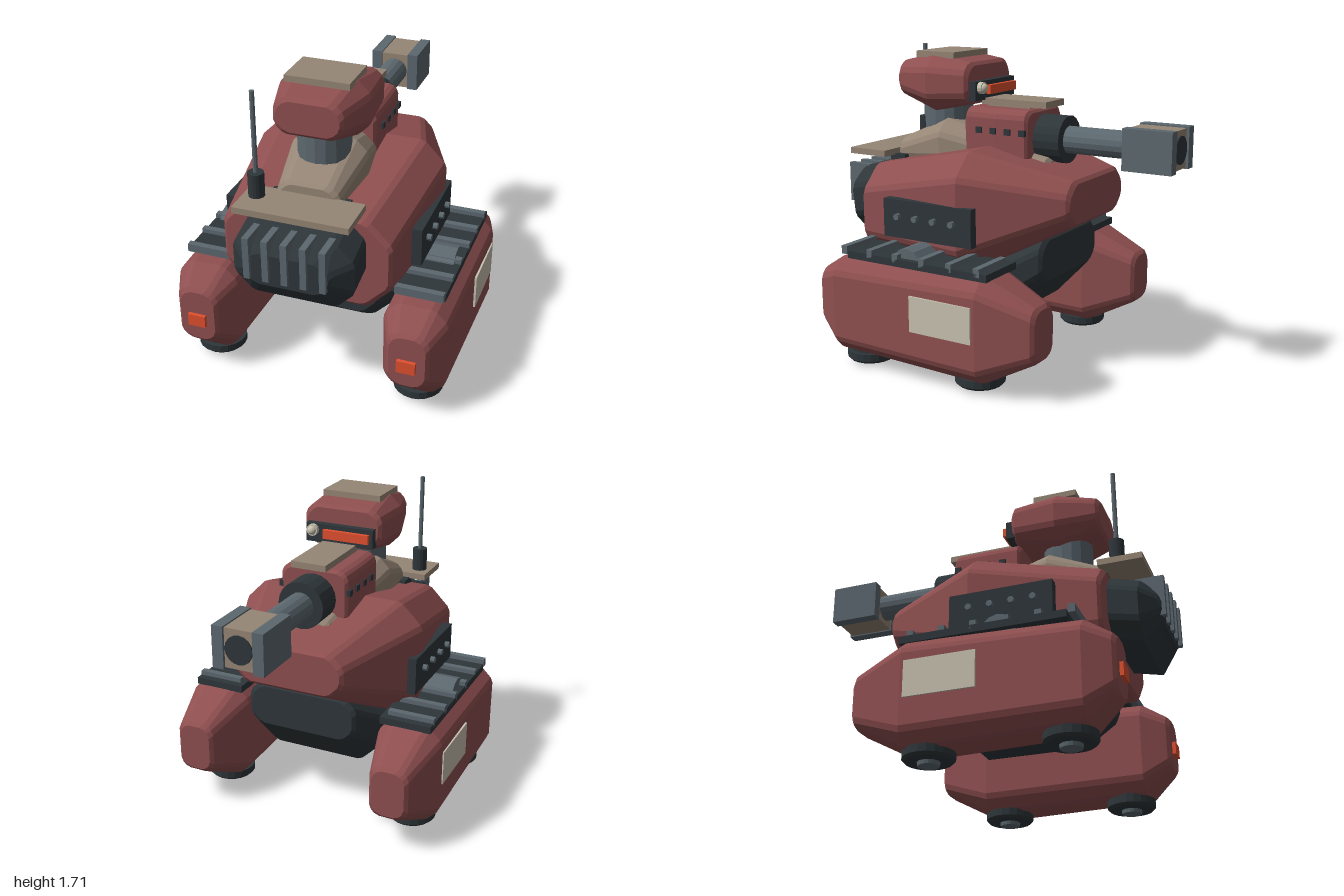
import * as THREE from 'three';

const mat = (color) => new THREE.MeshStandardMaterial({ color, flatShading: true, roughness: 0.8 });
const RED = mat(0x8f4f50), DARK = mat(0x2e363a), STEEL = mat(0x5c686f);
const TAN = mat(0x968676), PALE = mat(0xc8c2b0), ORANGE = mat(0xe0502f);

// Chamfered-rectangle ring with softened corners, counter-clockwise seen from +z
function ring([z, hw, y0, y1, c], bevel) {
  const o = [[hw, y0 + c], [hw, y1 - c], [hw - c, y1], [c - hw, y1], [-hw, y1 - c], [-hw, y0 + c], [c - hw, y0], [hw - c, y0]];
  const pts = [];
  o.forEach((p, i) => {
    const q = o[(i + 1) % 8];
    const t = Math.min(0.3, bevel / Math.hypot(q[0] - p[0], q[1] - p[1]));
    for (const k of [t, 1 - t]) pts.push([p[0] + (q[0] - p[0]) * k, p[1] + (q[1] - p[1]) * k, z]);
  });
  return pts;
}

// Closed armour shell through sections [z, halfWidth, bottom, top, chamfer], front to back
function shell(sections, bevel = 0.018) {
  const first = sections[0], last = sections[sections.length - 1];
  const inset = ([z, hw, y0, y1, c]) => [z, hw - bevel, y0 + bevel, y1 - bevel, c];
  const all = [
    inset(first), [first[0] - bevel, ...first.slice(1)],
    ...sections.slice(1, -1),
    [last[0] + bevel, ...last.slice(1)], inset(last),
  ];
  const rings = all.map((s) => ring(s, bevel));
  const pos = [], n = 16;
  const mid = (s) => [0, (s[2] + s[3]) / 2, s[0]];
  const front = mid(all[0]), back = mid(all[all.length - 1]), end = rings[rings.length - 1];
  for (let i = 0; i < n; i++) {
    const j = (i + 1) % n;
    pos.push(...front, ...rings[0][i], ...rings[0][j], ...back, ...end[j], ...end[i]);
    for (let r = 0; r < rings.length - 1; r++) {
      const a = rings[r][i], b = rings[r][j], c = rings[r + 1][j], d = rings[r + 1][i];
      pos.push(...a, ...d, ...b, ...b, ...d, ...c);
    }
  }
  const g = new THREE.BufferGeometry();
  g.setAttribute('position', new THREE.Float32BufferAttribute(pos, 3));
  g.computeVertexNormals();
  return g;
}

function add(parent, name, geometry, material, x = 0, y = 0, z = 0) {
  const m = new THREE.Mesh(geometry, material);
  m.name = name;
  m.position.set(x, y, z);
  parent.add(m);
  return m;
}

// Box given by its [min, max] extents
const box = (parent, name, material, [x0, x1], [y0, y1], [z0, z1]) =>
  add(parent, name, new THREE.BoxGeometry(x1 - x0, y1 - y0, z1 - z0), material,
    (x0 + x1) / 2, (y0 + y1) / 2, (z0 + z1) / 2);

// Cylinder along a chosen axis
function rod(parent, name, material, axis, r, length, x, y, z, sides = 16, r2 = r) {
  const g = new THREE.CylinderGeometry(r, r2, length, sides);
  if (axis === 'x') g.rotateZ(Math.PI / 2);
  if (axis === 'z') g.rotateX(Math.PI / 2);
  return add(parent, name, g, material, x, y, z);
}

function buildHull(g) {
  add(g, 'hull', shell([
    [0.72, 0.46, 0.56, 1.07, 0.13], [0.03, 0.54, 0.55, 1.21, 0.13], [-0.52, 0.32, 0.83, 1.08, 0.07],
  ]), RED);
  add(g, 'belly', shell([
    [0.6, 0.36, 0.42, 0.66, 0.08], [0.42, 0.395, 0.3, 0.68, 0.13],
    [-0.15, 0.395, 0.3, 0.72, 0.13], [-0.36, 0.32, 0.5, 0.76, 0.06],
  ]), DARK);
  // Front grille
  add(g, 'grilleHousing', shell([
    [0.98, 0.24, 0.75, 0.96, 0.06], [0.88, 0.325, 0.65, 1.02, 0.1], [0.68, 0.325, 0.69, 1.07, 0.1],
  ]), DARK);
  for (let i = -2; i <= 2; i++)
    box(g, 'grilleFin', STEEL, [i * 0.1 - 0.017, i * 0.1 + 0.017], [0.8, 1.03], [0.85, 1]);
  // Hood plate with antenna
  box(g, 'hoodPlate', TAN, [-0.305, 0.305], [1.105, 1.14], [0.67, 0.915]);
  rod(g, 'antennaBase', DARK, 'y', 0.042, 0.13, -0.235, 1.205, 0.765);
  rod(g, 'antenna', STEEL, 'y', 0.013, 0.45, -0.235, 1.48, 0.765, 8);
  // Side panels with bolts
  for (const s of [-1, 1]) {
    box(g, 'hoodBracket', DARK, [s * 0.18 - 0.03, s * 0.18 + 0.03], [1.04, 1.11], [0.6, 0.7]);
    box(g, 'sidePanel', DARK, [s * 0.52 - 0.027, s * 0.52 + 0.027], [0.725, 0.935], [-0.07, 0.495]);
    for (let i = 0; i < 4; i++)
      rod(g, 'panelBolt', STEEL, 'x', 0.018, 0.04, s * 0.552, 0.845, 0.045 + i * 0.117, 8);
  }
}

function buildLeg(side) {
  const g = new THREE.Group();
  g.name = side > 0 ? 'leftLeg' : 'rightLeg';
  g.position.x = side * 0.585;
  add(g, 'legPod', shell([
    [0.84, 0.115, 0.2, 0.53, 0.045], [0.69, 0.172, 0.08, 0.61, 0.075],
    [-0.23, 0.183, 0.06, 0.64, 0.08], [-0.53, 0.11, 0.21, 0.51, 0.04],
  ]), RED);
  // Deck with cross bars and hub
  const deck = [-0.145, 0.145].map((v) => v - side * 0.015);
  box(g, 'legDeck', DARK, deck, [0.62, 0.66], [-0.27, 0.615]);
  for (let i = 0; i < 6; i++) {
    const z = 0.64 - i * 0.17;
    box(g, 'deckBar', STEEL, [-0.13, 0.13], [0.64, 0.685], [z - 0.018, z + 0.018]);
  }
  rod(g, 'deckHub', STEEL, 'x', 0.095, 0.22, -side * 0.015, 0.62, 0.25, 12);
  // Lamp and outer panel
  box(g, 'legLamp', ORANGE, [-0.05, 0.05], [0.31, 0.38], [0.82, 0.86]);
  const px = side * 0.18;
  box(g, 'outerPanel', PALE, [px - 0.01, px + 0.01], [0.3, 0.495], [-0.21, 0.17]);
  // Foot pads
  for (const z of [0.58, -0.145]) {
    rod(g, 'footPad', DARK, 'y', 0.135, 0.04, -side * 0.005, 0.055, z, 20);
    rod(g, 'footRim', DARK, 'y', 0.135, 0.015, -side * 0.005, 0.0275, z, 20, 0.12);
    rod(g, 'footHub', STEEL, 'y', 0.06, 0.03, -side * 0.005, 0.015, z, 16, 0.055);
    rod(g, 'footPost', DARK, 'y', 0.11, 0.08, -side * 0.005, 0.1, z, 16);
  }
  return g;
}

function buildHead(g) {
  add(g, 'neckFairing', shell([
    [0.68, 0.17, 1.04, 1.2, 0.05], [0.36, 0.215, 1.04, 1.33, 0.08], [-0.29, 0.14, 1.0, 1.16, 0.03],
  ]), TAN);
  rod(g, 'neck', STEEL, 'y', 0.14, 0.2, 0, 1.36, 0.43, 16);
  add(g, 'headShell', shell([
    [0.66, 0.185, 1.44, 1.64, 0.05], [0.42, 0.248, 1.37, 1.69, 0.085], [0.16, 0.23, 1.42, 1.65, 0.05],
  ]), RED);
  box(g, 'headPlate', TAN, [-0.172, 0.172], [1.665, 1.7], [0.28, 0.53]);
  // Visor and lamp
  box(g, 'visorFrame', DARK, [-0.2, 0.2], [1.445, 1.55], [0.12, 0.18]);
  box(g, 'visor', ORANGE, [-0.18, 0.09], [1.475, 1.525], [0.095, 0.13]);
  rod(g, 'lampBarrel', PALE, 'z', 0.033, 0.04, 0.155, 1.515, 0.115, 12);
  add(g, 'lampLens', new THREE.SphereGeometry(0.026, 12, 8), PALE, 0.155, 1.515, 0.098);
}

function buildCannon(g) {
  add(g, 'cannonMount', shell([
    [0.2, 0.195, 1.1, 1.41, 0.035], [0, 0.2, 1.1, 1.41, 0.035], [-0.195, 0.195, 1.1, 1.41, 0.035],
  ], 0.015), RED);
  for (const s of [-1, 1])
    for (let i = 0; i < 4; i++) {
      const z = 0.1 - i * 0.09;
      box(g, 'mountBolt', DARK, [s * 0.195 - 0.014, s * 0.195 + 0.014], [1.277, 1.31], [z - 0.018, z + 0.018]);
    }
  box(g, 'mountPlate', TAN, [-0.1, 0.1], [1.42, 1.455], [-0.26, 0.145]);
  box(g, 'plateSpacer', TAN, [-0.08, 0.08], [1.39, 1.43], [-0.15, 0.12]);
  // Barrel
  rod(g, 'collar', DARK, 'z', 0.13, 0.18, 0, 1.25, -0.26, 20);
  rod(g, 'barrel', STEEL, 'z', 0.075, 0.46, 0, 1.25, -0.54, 16);
  // Muzzle block
  for (const s of [-1, 1])
    box(g, 'muzzleCheek', STEEL, [s * 0.11 - 0.03, s * 0.11 + 0.03], [1.14, 1.36], [-1, -0.725]);
  box(g, 'muzzleTop', TAN, [-0.082, 0.082], [1.25, 1.353], [-0.985, -0.73]);
  box(g, 'muzzleBottom', TAN, [-0.082, 0.082], [1.147, 1.25], [-0.985, -0.73]);
  rod(g, 'bore', DARK, 'z', 0.075, 0.03, 0, 1.25, -0.978, 16);
}

export function createModel() {
  const model = new THREE.Group();
  model.name = 'walkerTank';
  for (const [name, build] of [['body', buildHull], ['head', buildHead], ['cannon', buildCannon]]) {
    const g = new THREE.Group();
    g.name = name;
    build(g);
    model.add(g);
  }
  for (const side of [-1, 1]) model.add(buildLeg(side));
  return model;
}
